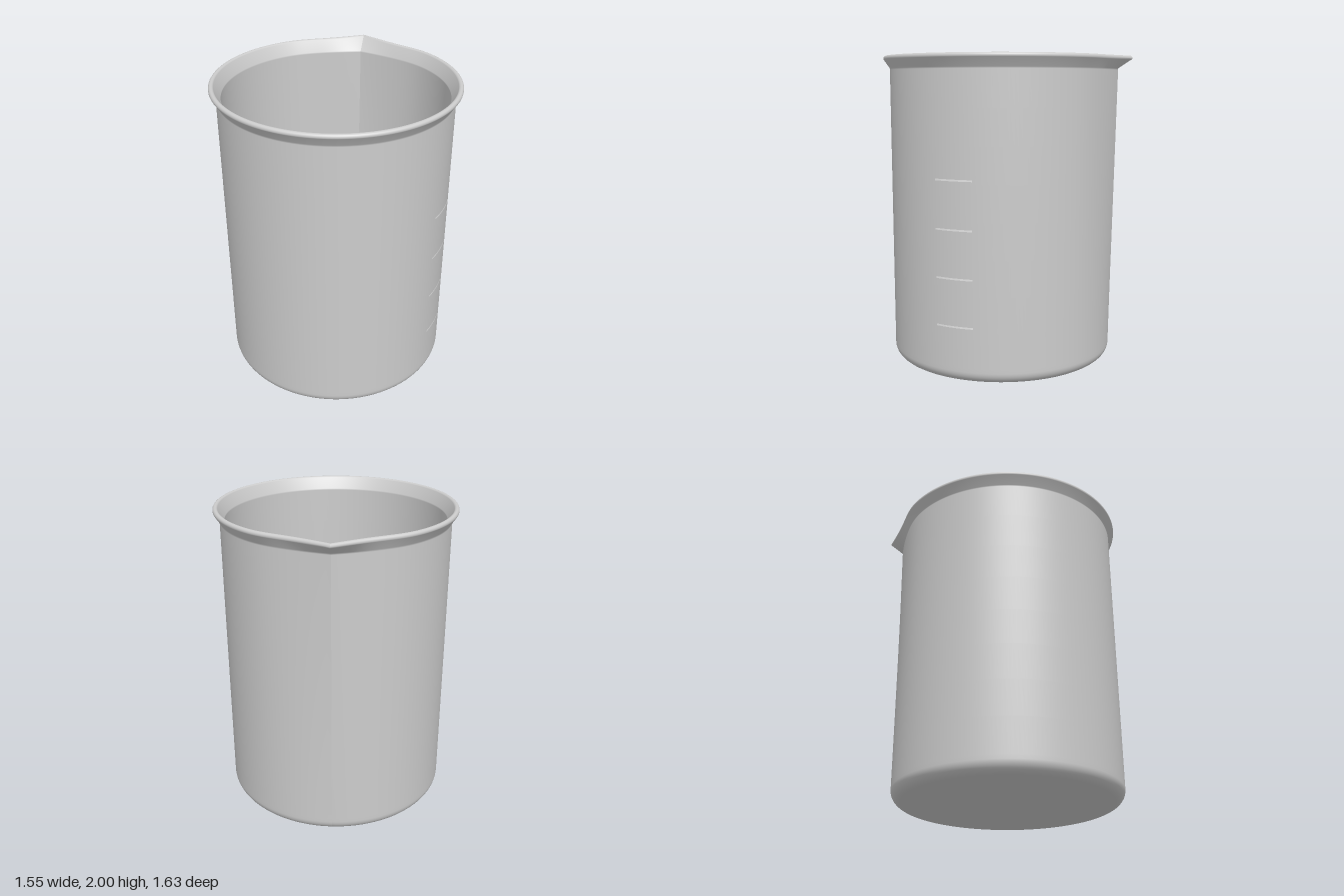
import * as THREE from 'three';

const CENTRE_Z = 0.04;
const RADIUS = 0.735;
const WALL = 0.03;
const NECK_Y = 1.92;

// Closed wall profile: underside, outer wall, rolled rim, inner wall, floor
function profile() {
  const pts = [];
  const add = (r, y) => pts.push(new THREE.Vector2(r, y));
  const arc = (cx, cy, rad, a0, a1, n) => {
    for (let i = 0; i <= n; i++) {
      const a = THREE.MathUtils.degToRad(a0 + (a1 - a0) * i / n);
      add(cx + rad * Math.cos(a), cy + rad * Math.sin(a));
    }
  };
  add(0, 0);
  add(0.645, 0);
  arc(RADIUS - 0.075, 0.075, 0.075, -90, 0, 10);
  add(RADIUS, 0.1);
  for (let i = 1; i <= 8; i++) add(RADIUS, 0.1 + (NECK_Y - 0.11) * i / 8);
  add(RADIUS, NECK_Y);
  arc(0.758, 1.983, 0.017, -30, 150, 10);
  add(RADIUS - WALL, NECK_Y);
  for (let i = 8; i >= 0; i--) add(RADIUS - WALL, 0.1 + (NECK_Y - 0.11) * i / 8);
  arc(RADIUS - 0.075, 0.075, 0.045, 0, -90, 8);
  add(0.645, WALL);
  add(0, WALL);
  return pts;
}

// Radial offset of the spout at an angle (degrees) away from the back
function spoutOffset(angle) {
  const t = angle / 40;
  if (t >= 1) return 0;
  return 0.085 * (1 - t) ** 4 - 0.011 * Math.sin(Math.PI * t) ** 2;
}

// The spout fades in slowly up the wall and flares out at the rim
function spoutStrength(y) {
  if (y < NECK_Y) return 0.41 * Math.max(0, y - 0.03) / (NECK_Y - 0.03);
  return Math.min(1, 0.41 + 0.59 * (y - NECK_Y) / 0.06);
}

function beakerGeometry() {
  // The seam sits at the back so the spout keeps a sharp crease
  const geo = new THREE.LatheGeometry(profile(), 180, Math.PI, Math.PI * 2);
  const p = geo.attributes.position;
  for (let i = 0; i < p.count; i++) {
    const x = p.getX(i), y = p.getY(i), z = p.getZ(i);
    const r = Math.hypot(x, z);
    if (r < 0.65) continue;
    const angle = THREE.MathUtils.radToDeg(Math.abs(Math.atan2(x, -z)));
    const k = 1 + spoutOffset(angle) * spoutStrength(y) / r;
    p.setXYZ(i, x * k, y, z * k);
  }
  geo.computeVertexNormals();
  return geo;
}

export function createModel() {
  const group = new THREE.Group();
  group.name = 'beaker';

  const glass = new THREE.MeshStandardMaterial({ color: 0xcccccc });
  glass.name = 'light grey';
  const paint = new THREE.MeshStandardMaterial({ color: 0xe8e8e8, side: THREE.DoubleSide });
  paint.name = 'pale marking';

  const body = new THREE.Mesh(beakerGeometry(), glass);
  body.name = 'beakerBody';
  body.position.z = CENTRE_Z;
  group.add(body);

  // Curved volume lines on the +x side
  const start = Math.acos(0.26 / RADIUS);
  const end = Math.acos(0.02 / RADIUS);
  const lineGeo = new THREE.CylinderGeometry(
    RADIUS + 0.002, RADIUS + 0.002, 0.011, 16, 1, true, start, end - start);
  for (let i = 0; i < 4; i++) {
    const line = new THREE.Mesh(lineGeo, paint);
    line.name = 'volumeLine' + (i + 1);
    line.position.set(0, 0.355 + 0.3 * i, CENTRE_Z);
    group.add(line);
  }
  return group;
}
